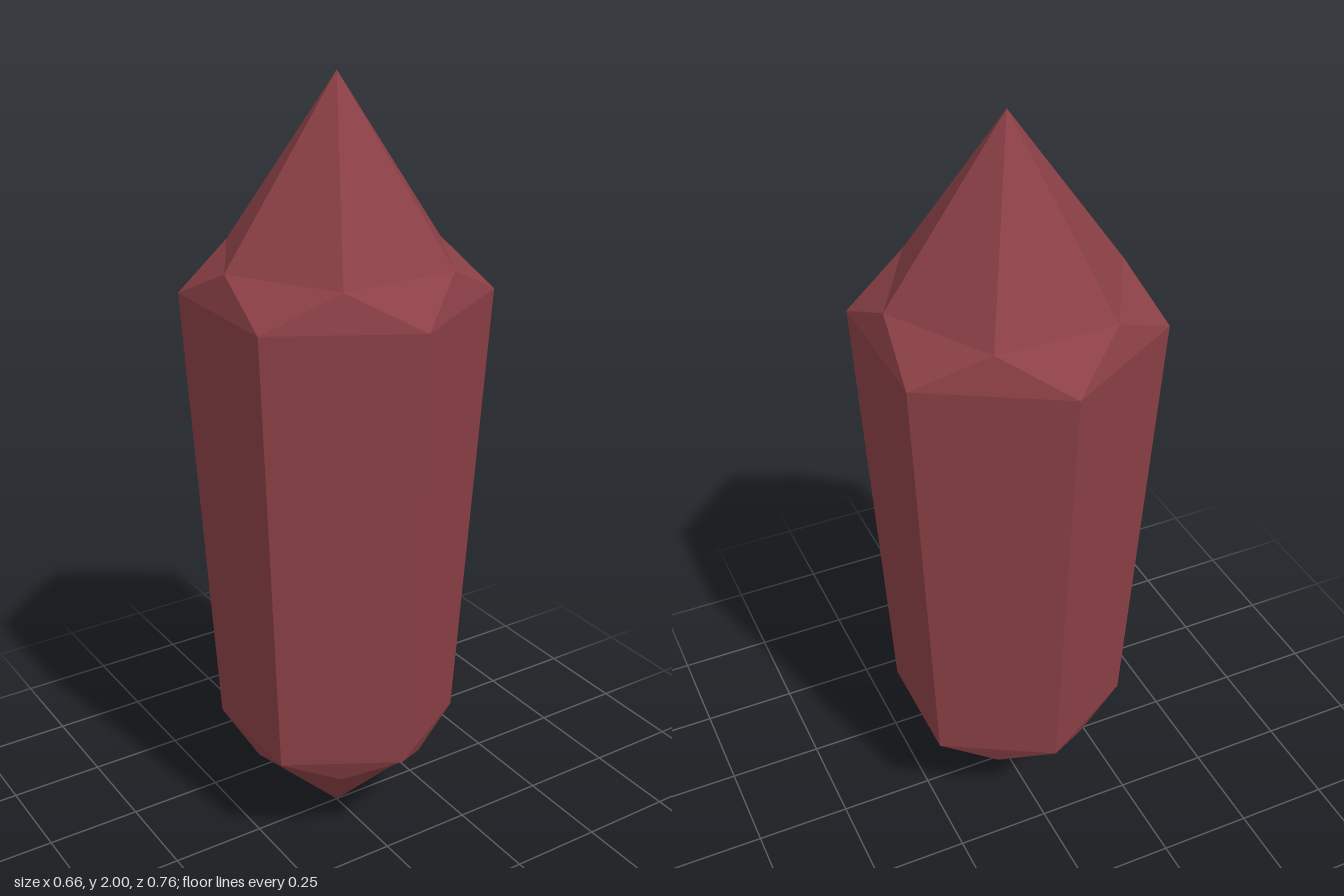
import * as THREE from 'three';

const SIDES = 6;

// Corner of a hexagonal ring; half steps turn it to sit between the corners
function corner(radius, y, step) {
  const a = (step / SIDES) * Math.PI * 2;
  return [radius * Math.sin(a), y, radius * Math.cos(a)];
}

// Pointed end: body rim, a smaller ring turned by half a step, then the apex
function tipGeometry(rim, ring, apexY) {
  const up = apexY > rim.y;
  const positions = [];
  const tri = (a, b, c) => positions.push(...a, ...(up ? b : c), ...(up ? c : b));
  const apex = [0, apexY, 0];
  for (let i = 0; i < SIDES; i++) {
    const r0 = corner(rim.r, rim.y, i);
    const r1 = corner(rim.r, rim.y, i + 1);
    const s0 = corner(ring.r, ring.y, i + 0.5);
    const s1 = corner(ring.r, ring.y, i + 1.5);
    tri(r0, r1, s0); // bevel above each body side
    tri(r1, s1, s0); // bevel at each body corner
    tri(s0, s1, apex); // main facet
  }
  const geometry = new THREE.BufferGeometry();
  geometry.setAttribute('position', new THREE.Float32BufferAttribute(positions, 3));
  geometry.computeVertexNormals();
  return geometry;
}

export function createModel() {
  const crystalRed = new THREE.MeshStandardMaterial({ color: 0x8b4046, flatShading: true });
  crystalRed.name = 'crystalRed';

  const group = new THREE.Group();
  group.name = 'crystal';
  const add = (name, geometry) => {
    const mesh = new THREE.Mesh(geometry, crystalRed);
    mesh.name = name;
    group.add(mesh);
    return mesh;
  };

  const lowerRim = { r: 0.31, y: 0.305 };
  const upperRim = { r: 0.38, y: 1.48 };

  // Tapered six-sided shaft
  const height = upperRim.y - lowerRim.y;
  add('shaft', new THREE.CylinderGeometry(upperRim.r, lowerRim.r, height, SIDES, 1, true))
    .position.y = lowerRim.y + height / 2;

  // Faceted ends
  add('upperTip', tipGeometry(upperRim, { r: 0.305, y: 1.57 }, 2));
  add('lowerTip', tipGeometry(lowerRim, { r: 0.245, y: 0.24 }, 0));

  return group;
}
